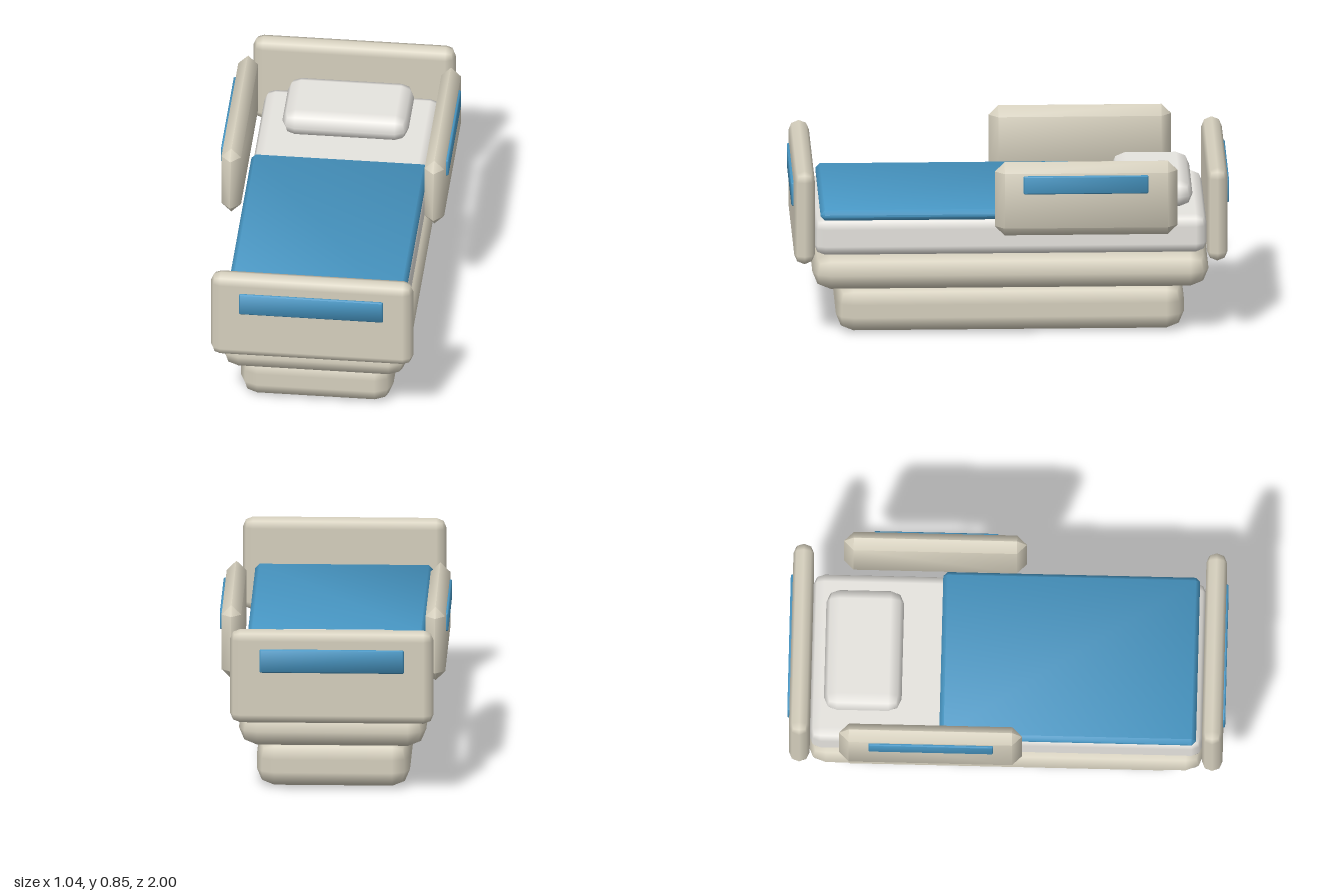
import * as THREE from 'three';
import { RoundedBoxGeometry } from 'three/addons/geometries/RoundedBoxGeometry.js';
import { ConvexGeometry } from 'three/addons/geometries/ConvexGeometry.js';
import { toCreasedNormals } from 'three/addons/utils/BufferGeometryUtils.js';

const beige = new THREE.MeshStandardMaterial({ color: 0xd6d0be });
const linen = new THREE.MeshStandardMaterial({ color: 0xe6e4df });
const blue = new THREE.MeshStandardMaterial({ color: 0x4796c3 });

// Box with every edge cut by one straight chamfer
function chamferBox(w, h, d, c) {
  const points = [];
  for (const sx of [-1, 1]) for (const sy of [-1, 1]) for (const sz of [-1, 1]) {
    for (let axis = 0; axis < 3; axis++) {
      const p = [w, h, d].map((s, i) => s / 2 - (i === axis ? 0 : c));
      points.push(new THREE.Vector3(sx * p[0], sy * p[1], sz * p[2]));
    }
  }
  return toCreasedNormals(new ConvexGeometry(points), 0.9);
}

export function createModel() {
  const bed = new THREE.Group();
  bed.name = 'hospitalBed';

  // Places a part by its [min, max] extents
  function add(name, material, x, y, z, edge, make) {
    const size = [x, y, z].map(r => r[1] - r[0]);
    const mesh = new THREE.Mesh(make(...size, edge), material);
    mesh.position.set(...[x, y, z].map(r => (r[0] + r[1]) / 2));
    mesh.name = name;
    bed.add(mesh);
  }
  const round = (w, h, d, r) => new RoundedBoxGeometry(w, h, d, 1, r);
  const side = (s, a, b) => (s > 0 ? [a, b] : [-b, -a]);

  // Base and frame
  add('base', beige, [-0.35, 0.35], [0, 0.22], [-0.795, 0.795], 0.08, round);
  add('frame', beige, [-0.428, 0.428], [0.22, 0.387], [-0.905, 0.905], 0.083, round);

  // Bedding
  add('mattress', linen, [-0.405, 0.405], [0.385, 0.565], [-0.897, 0.897], 0.05, round);
  add('pillow', linen, [-0.29, 0.29], [0.565, 0.69], [-0.835, -0.48], 0.06, round);
  add('blanket', blue, [-0.406, 0.406], [0.556, 0.605], [-0.305, 0.868], 0.02, chamferBox);

  // End boards with inlaid panels
  for (const s of [1, -1]) {
    const name = s > 0 ? 'footboard' : 'headboard';
    add(name, beige, [-0.465, 0.465], [0.36, 0.802], side(s, 0.896, 0.99), 0.046, round);
    add(name + 'Panel', blue, [-0.33, 0.33], [0.61, 0.72], side(s, 0.98, 1.0), 0.005, chamferBox);
  }

  // Side rails with inlaid panels
  for (const s of [1, -1]) {
    const name = s > 0 ? 'leftRail' : 'rightRail';
    add(name, beige, side(s, 0.421, 0.511), [0.502, 0.85], [-0.76, 0.075], 0.0445, chamferBox);
    add(name + 'Panel', blue, side(s, 0.502, 0.522), [0.71, 0.795], [-0.625, -0.055], 0.005, chamferBox);
  }
  return bed;
}
